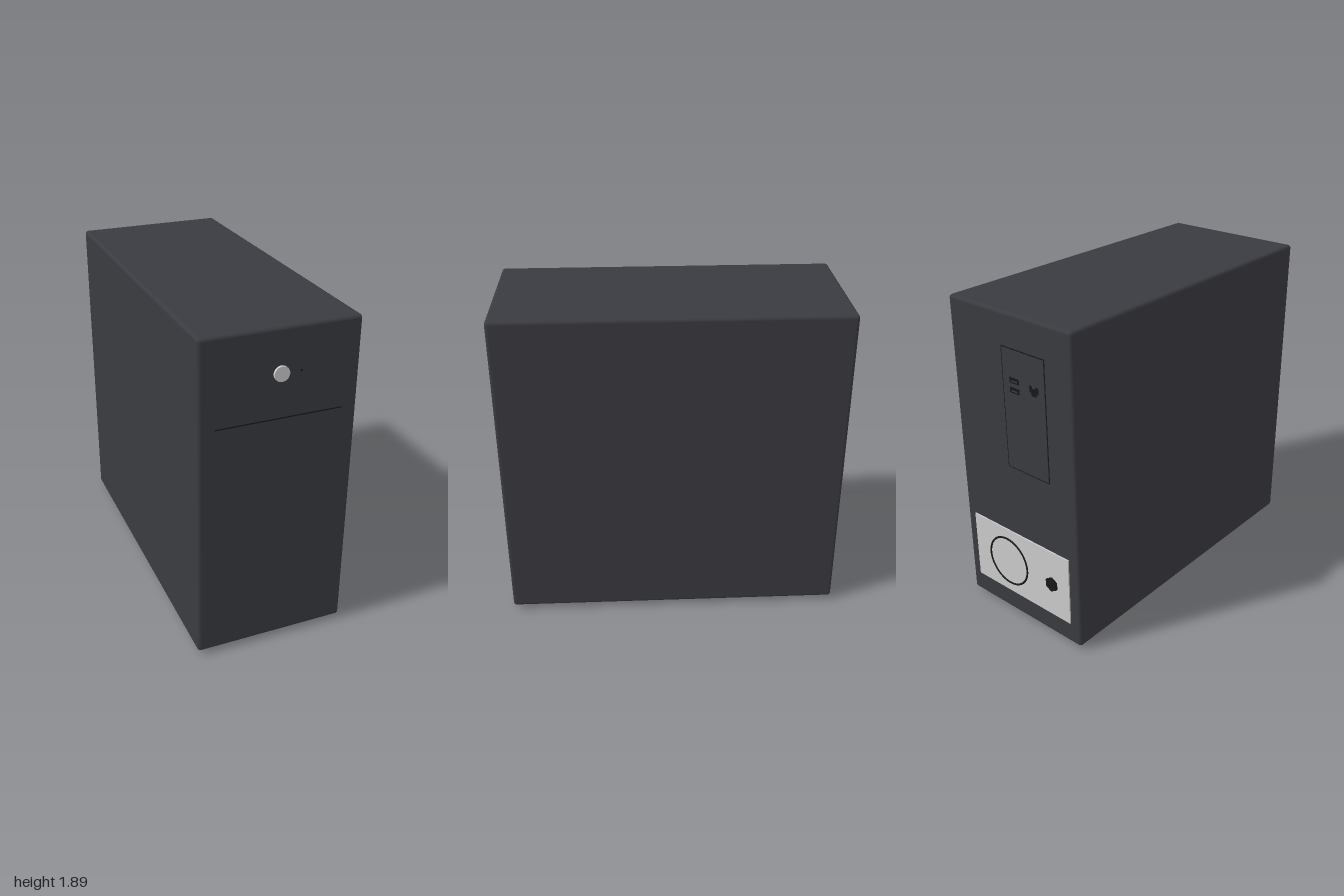
import * as THREE from 'three';
import { RoundedBoxGeometry } from 'three/addons/geometries/RoundedBoxGeometry.js';

const material = (color) => new THREE.MeshStandardMaterial({ color });

export function createModel() {
  const model = new THREE.Group();
  model.name = 'computerTower';
  const shell = material(0x3a3b40);
  const black = material(0x17181a);
  const grey = material(0xcccccc);
  const FRONT = 0.987, BACK = -0.98;

  const add = (name, geometry, mat, x, y, z, parent = model) => {
    const mesh = new THREE.Mesh(geometry, mat);
    mesh.name = name;
    mesh.position.set(x, y, z);
    parent.add(mesh);
    return mesh;
  };
  // Disc or prism whose axis runs along z
  const disc = (r, depth, sides = 40) =>
    new THREE.CylinderGeometry(r, r, depth, sides).rotateX(Math.PI / 2);
  // Box standing out of the back face by the given amount
  const backBox = (name, w, h, out, mat, x, y) =>
    add(name, new THREE.BoxGeometry(w, h, out + 0.01), mat, x, y, BACK + (0.01 - out) / 2);

  // Case
  add('case', new RoundedBoxGeometry(0.88, 1.865, FRONT - BACK, 4, 0.02), shell,
    0, 0.025 + 1.865 / 2, (FRONT + BACK) / 2);

  // Feet
  for (const x of [-0.345, 0.345])
    for (const z of [-0.835, 0.845])
      add('foot', new THREE.CylinderGeometry(0.04, 0.04, 0.03, 24), black, x, 0.015, z);

  // Front details
  add('powerButton', disc(0.042, 0.03), grey, 0, 1.647, 0.985);
  add('indicatorLight', disc(0.006, 0.01, 16), black, 0.11, 1.647, FRONT - 0.002);
  add('frontSeam', new THREE.BoxGeometry(0.7, 0.006, 0.01), black, 0, 1.4, FRONT - 0.002);

  // Rear port panel with a dark outline
  backBox('portPanelSeam', 0.31, 0.7, 0.0015, black, -0.1, 1.355);
  backBox('portPanel', 0.298, 0.688, 0.0025, shell, -0.1, 1.355);

  // Stacked sockets with their inner tongues
  for (const y of [1.475, 1.53]) {
    backBox('stackedPort', 0.068, 0.032, 0.004, black, -0.033, y);
    backBox('portTongue', 0.045, 0.008, 0.005, shell, -0.033, y - 0.004);
  }

  // Network socket: wide opening with a stepped latch slot
  backBox('networkPort', 0.062, 0.036, 0.005, black, -0.175, 1.52);
  backBox('networkPortLatch', 0.032, 0.02, 0.005, black, -0.175, 1.494);
  backBox('networkPortTab', 0.02, 0.012, 0.006, shell, -0.175, 1.533);

  // Power supply: plate, fan rim and mains socket
  const supply = new THREE.Group();
  supply.name = 'powerSupply';
  model.add(supply);
  add('supplyPlate', new THREE.BoxGeometry(0.74, 0.42, 0.02), grey, 0, 0.37, BACK + 0.002, supply);
  add('fanRim', new THREE.TorusGeometry(0.15, 0.006, 8, 56), black, 0.103, 0.366, -0.988, supply);
  add('mainsSocket', disc(0.044, 0.02, 6), black, -0.243, 0.37, -0.99, supply);

  return model;
}
